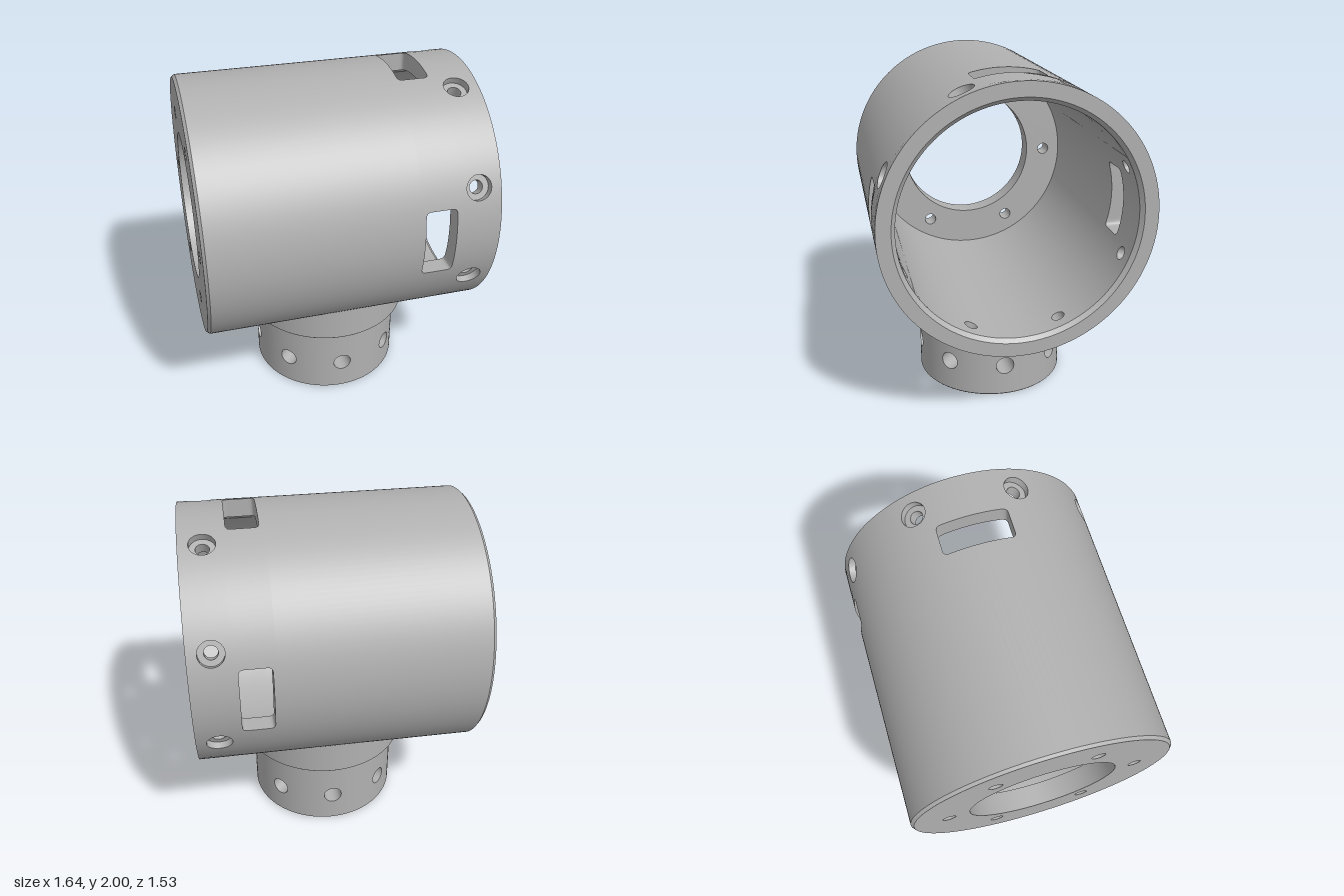
import * as THREE from 'three';
import { mergeGeometries, toCreasedNormals } from 'three/addons/utils/BufferGeometryUtils.js';

const DEG = Math.PI / 180;
const AXIS_Y = 1.235, R_OUT = 0.765, R_IN = 0.662; // barrel
const NECK_X = 0.015, NECK_R = 0.455, BORE_R = 0.245; // neck

// Cylindrical frames: (a along axis, angle t, radius r) -> position
const barrelFrame = (a, t, r) => new THREE.Vector3(a, AXIS_Y + r * Math.sin(t), r * Math.cos(t));
const neckFrame = (a, t, r) => new THREE.Vector3(NECK_X - r * Math.sin(t), a, r * Math.cos(t));

// Surface between two loops of [a, t, r]; constant-radius skins get true radial normals
function skin(frame, from, to, steps = 1) {
  const pos = [], nor = [], idx = [], n = from.length;
  const r0 = from[0][2];
  const round = [...from, ...to].every(p => Math.abs(p[2] - r0) < 1e-6);
  for (let k = 0; k <= steps; k++) {
    for (let i = 0; i < n; i++) {
      const p = from[i].map((v, j) => v + (to[i][j] - v) * k / steps);
      pos.push(...frame(...p).toArray());
      nor.push(...frame(p[0], p[1], 1).sub(frame(p[0], p[1], 0)).toArray());
      if (k < steps && i < n - 1) {
        const A = k * n + i, B = A + n;
        idx.push(A, B, B + 1, A, B + 1, A + 1);
      }
    }
  }
  const g = new THREE.BufferGeometry();
  g.setAttribute('position', new THREE.Float32BufferAttribute(pos, 3));
  g.setIndex(idx);
  g.computeVertexNormals();
  if (round) {
    // keep the side given by the winding
    const c = g.attributes.normal, m = Math.floor(n / 3) * 3;
    const s = c.array[m] * nor[m] + c.array[m + 1] * nor[m + 1] + c.array[m + 2] * nor[m + 2] < 0 ? -1 : 1;
    g.setAttribute('normal', new THREE.Float32BufferAttribute(nor.map(v => v * s), 3));
  }
  return g;
}

// Arc or full ring of points at 2.25 degree spacing
function ring(a, r, centre = 180, span = 360) {
  const n = span / 2.25;
  return Array.from({ length: n + 1 }, (_, i) => [a, (centre - span / 2 + i * 2.25) * DEG, r]);
}

// Revolved profile of [a, r] points with sharp corners
const revolve = (frame, pts) =>
  pts.slice(1).map((p, i) => skin(frame, ring(...pts[i]), ring(...p)));

// Perimeter of the unit square, counter-clockwise
const SQUARE = [];
for (let s = 0; s < 4; s++) {
  for (let i = 0; i < 20; i++) {
    const e = -1 + i / 10;
    SQUARE.push([[1, e], [-e, 1], [-1, -e], [e, -1]][s]);
  }
}
SQUARE.push(SQUARE[0]);

// Rounded hole outline in local (a, v): half sizes w, h and corner radius c
function outline(w, h, c) {
  return SQUARE.map(([s, t]) => {
    const x = s * w, y = t * h;
    const cx = THREE.MathUtils.clamp(x, c - w, w - c), cy = THREE.MathUtils.clamp(y, c - h, h - c);
    const d = Math.hypot(x - cx, y - cy) || 1;
    return [cx + (x - cx) / d * c, cy + (y - cy) / d * c];
  });
}

// 45 degree wall tile with a hole; an optional counterbore is { size, height }
function tile(frame, a0, a1, deg, rOut, rIn, hole, bore) {
  const mid = (a0 + a1) / 2, t0 = deg * DEG;
  const edge = r => SQUARE.map(([s, t]) => [mid + s * (a1 - a0) / 2, t0 + t * 22.5 * DEG, r]);
  const onRound = (o, r) => o.map(([a, v]) => [mid + a, t0 + Math.asin(v / r), r]);
  const onFlat = (o, h) => o.map(([a, v]) => [mid + a, t0 + Math.atan2(v, h), Math.hypot(v, h)]);
  const small = outline(...hole), big = bore ? outline(...bore.size) : small;
  const loops = [edge(rIn), onRound(small, rIn)];
  if (bore) loops.push(onFlat(small, bore.height), onFlat(big, bore.height));
  loops.push(onRound(big, rOut), edge(rOut));
  const last = loops.length - 2;
  return loops.slice(1).map((l, i) => skin(frame, loops[i], l, i === 0 || i === last ? 4 : 1));
}

// Plain 45 degree wall tile
const plainTile = (frame, a0, a1, deg, rOut, rIn) => [
  skin(frame, ring(a0, rOut, deg, 45), ring(a1, rOut, deg, 45)),
  skin(frame, ring(a1, rIn, deg, 45), ring(a0, rIn, deg, 45)),
];

function barrelGeometry() {
  const f = barrelFrame, S0 = 0.36, S1 = 0.583, S2 = 0.797;
  const parts = [
    // outer shell with chamfered closed end, then bore, then open rim
    ...revolve(f, [[-0.82, 0.75], [-0.803, R_OUT], [S0, R_OUT]]),
    ...revolve(f, [[S0, R_IN], [-0.7, R_IN]]),
    ...revolve(f, [[S2, R_OUT], [0.82, R_OUT], [0.82, 0.684], [S2, R_IN]]),
  ];
  for (let k = 0; k < 8; k++) {
    // slots at front, top and back
    const deg = k * 45;
    parts.push(...(k === 0 || k === 2 || k === 4
      ? tile(f, S0, S1, deg, R_OUT, R_IN, [0.09, 0.2, 0.025])
      : plainTile(f, S0, S1, deg, R_OUT, R_IN)));
    // counterbored screw holes
    parts.push(...tile(f, S1, S2, deg + 22.5, R_OUT, R_IN, [0.038, 0.038, 0.038],
      { size: [0.072, 0.072, 0.072], height: 0.722 }));
  }
  return mergeGeometries(parts);
}

function neckGeometry() {
  const f = neckFrame, collarR = 0.505;
  const parts = [
    // blind bore
    ...revolve(f, [[0.45, 0], [0.45, BORE_R], [0.35, BORE_R]]),
    // bottom face and chamfer
    ...revolve(f, [[0.05, BORE_R], [0, BORE_R], [0, 0.447], [0.008, NECK_R], [0.05, NECK_R]]),
    // step out to the collar
    ...revolve(f, [[0.35, NECK_R], [0.45, NECK_R], [0.45, 0.497], [0.458, collarR]]),
  ];
  // collar wall follows the barrel's curve
  const base = ring(0.458, collarR);
  const top = base.map(([, t, r]) =>
    [AXIS_Y - Math.sqrt(R_OUT ** 2 - (r * Math.cos(t)) ** 2) + 0.02, t, r]);
  parts.push(skin(f, base, top));
  // eight radial holes
  for (let k = 0; k < 8; k++) {
    parts.push(...tile(f, 0.05, 0.35, k * 45, NECK_R, BORE_R, [0.055, 0.055, 0.055]));
  }
  return mergeGeometries(parts);
}

function flangeGeometry() {
  // end plate with a large opening and six bolt holes
  const shape = new THREE.Shape().absarc(0, 0, 0.75, 0, Math.PI * 2);
  const punch = (x, y, r) => shape.holes.push(new THREE.Path().absarc(x, y, r, 0, Math.PI * 2, true));
  punch(0, 0, 0.43);
  for (let k = 0; k < 6; k++) {
    punch(0.55 * Math.cos(k * 60 * DEG), 0.55 * Math.sin(k * 60 * DEG), 0.038);
  }
  const g = new THREE.ExtrudeGeometry(shape, { depth: 0.13, bevelEnabled: false, curveSegments: 80 });
  g.rotateY(Math.PI / 2).translate(-0.82, AXIS_Y, 0);
  return toCreasedNormals(g, 0.6);
}

export function createModel() {
  const group = new THREE.Group();
  group.name = 'pipeHousing';
  const grey = new THREE.MeshStandardMaterial({ color: 0xb0b0b0 });
  grey.name = 'grey';
  const add = (name, geometry) => {
    const mesh = new THREE.Mesh(geometry, grey);
    mesh.name = name;
    group.add(mesh);
  };
  add('barrel', barrelGeometry());
  add('endFlange', flangeGeometry());
  add('neck', neckGeometry());
  return group;
}
